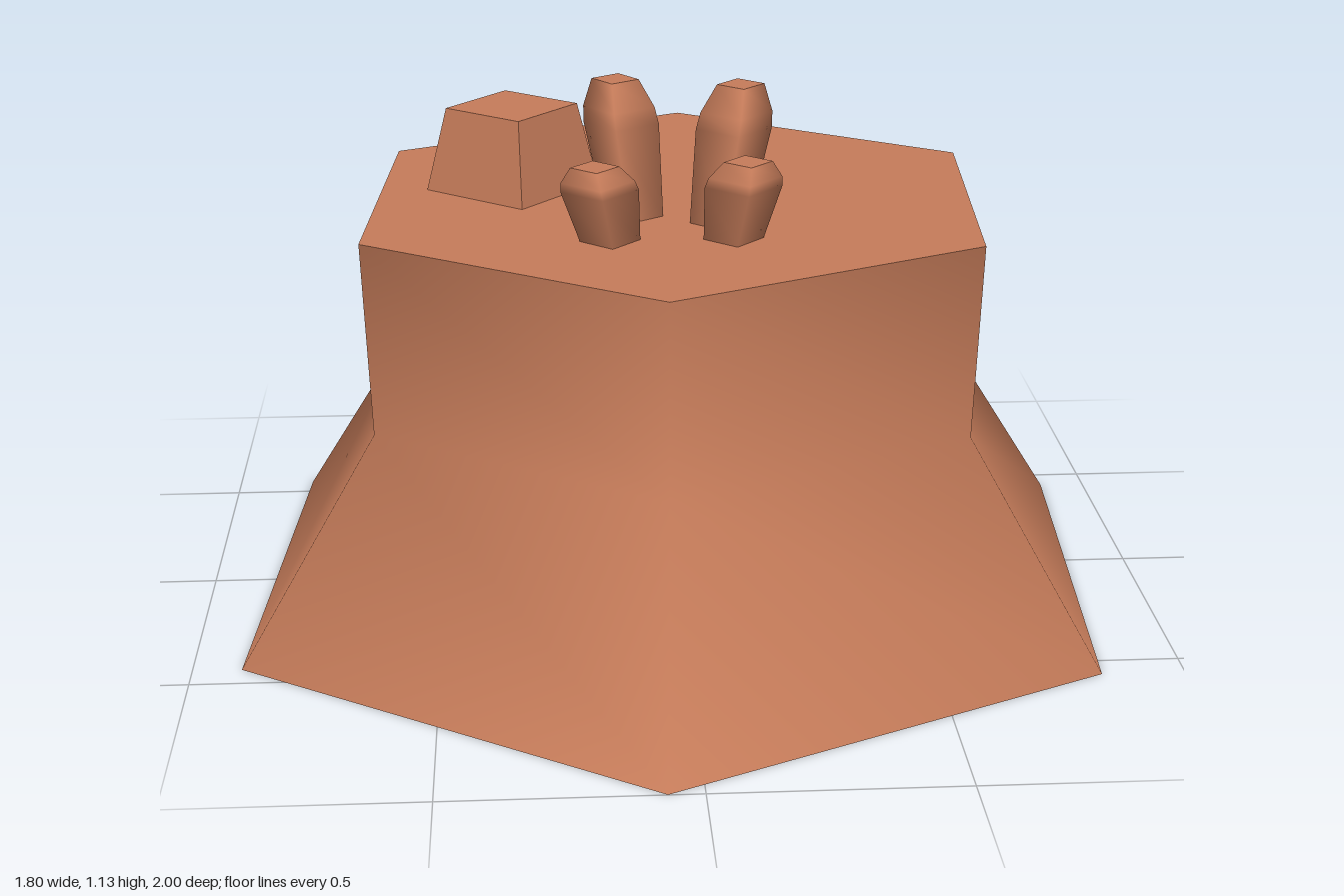
import * as THREE from 'three';

const TOP = 0.855;

export function createModel() {
  const clay = new THREE.MeshStandardMaterial({ color: 0xc67c5a });
  const model = new THREE.Group();

  // Upright prism with smooth sides and flat ends; profile is [radius, y] from bottom to top
  function prism(name, profile, sides, turn, lean = [0, 0]) {
    const part = new THREE.Group();
    part.name = name;
    const shear = new THREE.Matrix4().makeShear(0, 0, lean[0], lean[1], 0, 0);
    const add = (geometry, label) => {
      geometry.rotateY(turn).applyMatrix4(shear);
      const mesh = new THREE.Mesh(geometry, clay);
      mesh.name = name + label;
      part.add(mesh);
    };
    const [r0, y0] = profile[0];
    const [r1, y1] = profile[profile.length - 1];
    add(new THREE.LatheGeometry(profile.map(([r, y]) => new THREE.Vector2(r, y)), sides), 'Side');
    add(new THREE.CircleGeometry(r1, sides, Math.PI / 2).rotateX(-Math.PI / 2).translate(0, y1, 0), 'Top');
    add(new THREE.CircleGeometry(r0, sides, Math.PI / 2).rotateX(Math.PI / 2).translate(0, y0, 0), 'Bottom');
    model.add(part);
    return part;
  }

  // Six-sided pedestal with a flared foot
  prism('pedestal', [[1.002, 0], [0.695, 0.45], [0.712, TOP]], 6, -0.07);

  // Tapered square block
  const block = new THREE.Mesh(
    new THREE.CylinderGeometry(0.138, 0.182, 0.175, 4).toNonIndexed(), clay);
  block.geometry.computeVertexNormals();
  block.name = 'block';
  block.position.set(-0.336, TOP + 0.0875, -0.095);
  block.rotation.y = 0.1;
  model.add(block);

  // Four stubby fingers leaning away from each other: base x, z, top x, z, height, turn
  const fingers = [
    [-0.09, 0.14, -0.125, 0.095, 0.275, 1.4],
    [0.08, 0.2, 0.125, 0.155, 0.275, 0.05],
    [-0.145, 0.315, -0.175, 0.35, 0.16, 0.05],
    [0.1, 0.315, 0.125, 0.345, 0.165, 0.05],
  ];
  fingers.forEach(([x, z, tx, tz, h, turn], i) => {
    const profile = [[0.06, 0], [0.077, h * 0.68], [0.073, h * 0.8], [0.048, h]];
    const finger = prism('finger' + (i + 1), profile, 4, turn, [(tx - x) / h, (tz - z) / h]);
    finger.position.set(x, TOP, z);
  });

  return model;
}
